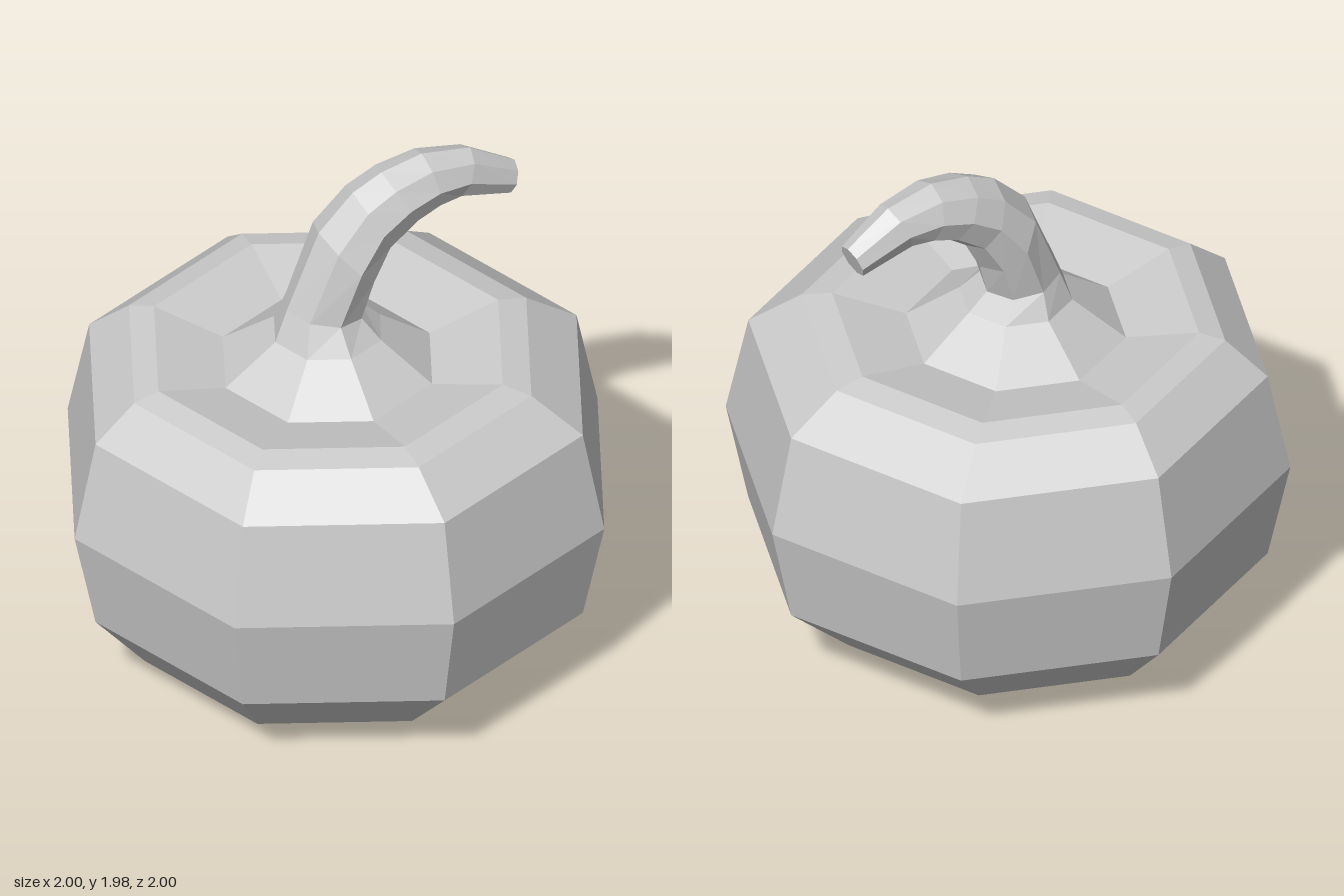
import * as THREE from 'three';

const SIDES = 8;

// Faceted skin over eight-sided rings, listed from bottom to top.
// Each ring: left/outer point (ax, ay), right/inner point (bx, by), half width in z, z centre.
function loft(rings) {
  const corner = ({ ax, ay, bx, by, half, z }, j) => {
    const t = (j / SIDES) * Math.PI * 2, c = Math.cos(t) / 2;
    return [
      (ax + bx) / 2 + c * (ax - bx),
      (ay + by) / 2 + c * (ay - by),
      z + Math.sin(t) * half,
    ];
  };
  const pos = [];
  for (let i = 0; i < rings.length - 1; i++) {
    const low = rings[i], high = rings[i + 1];
    for (let j = 0; j < SIDES; j++) {
      const a = corner(low, j), b = corner(low, j + 1);
      const c = corner(high, j + 1), d = corner(high, j);
      if (low.half > 0) pos.push(...a, ...b, ...c);
      if (high.half > 0) pos.push(...a, ...c, ...d);
      // a ring that closes to a point needs only one triangle per side
      if (high.half === 0) continue;
    }
  }
  const geo = new THREE.BufferGeometry();
  geo.setAttribute('position', new THREE.Float32BufferAttribute(pos, 3));
  geo.computeVertexNormals();
  return geo;
}

// Level ring of radius r at height y
const level = (r, y, x = 0, z = 0) => ({ ax: x - r, ay: y, bx: x + r, by: y, half: r, z });
// Tilted stem ring
const tilted = (ax, ay, bx, by, half) => ({ ax, ay, bx, by, half, z: -0.015 });

export function createModel() {
  const group = new THREE.Group();
  group.name = 'pumpkin';
  const material = new THREE.MeshStandardMaterial({ color: 0xcccccc, flatShading: true });

  const add = (name, rings) => {
    const mesh = new THREE.Mesh(loft(rings), material);
    mesh.name = name;
    group.add(mesh);
  };

  // Squat body with a dimple underneath and a shallow dip on top
  add('body', [
    level(0, 0.1, -0.02),
    level(0.375, 0, -0.025, -0.005),
    level(0.705, 0.11, -0.025, -0.005),
    level(0.92, 0.34),
    level(1, 0.725),
    level(0.92, 1.11),
    level(0.75, 1.24, -0.02, -0.005),
    level(0.65, 1.26, -0.025, -0.01),
    level(0.39, 1.2, -0.03, -0.005),
    level(0, 1.16, -0.03, -0.005),
  ]);

  // Flared, curving stem with a flat cut end
  add('stem', [
    level(0.39, 1.2, -0.03, -0.005),
    level(0.2, 1.34, -0.03, -0.005),
    tilted(-0.18, 1.46, 0.1, 1.41, 0.145),
    tilted(-0.06, 1.755, 0.13, 1.53, 0.155),
    tilted(0.07, 1.89, 0.19, 1.65, 0.135),
    tilted(0.18, 1.945, 0.3, 1.735, 0.125),
    tilted(0.335, 1.98, 0.38, 1.765, 0.11),
    tilted(0.52, 1.95, 0.45, 1.775, 0.09),
    tilted(0.69, 1.845, 0.65, 1.725, 0.063),
    tilted(0.67, 1.785, 0.67, 1.785, 0),
  ]);

  return group;
}
